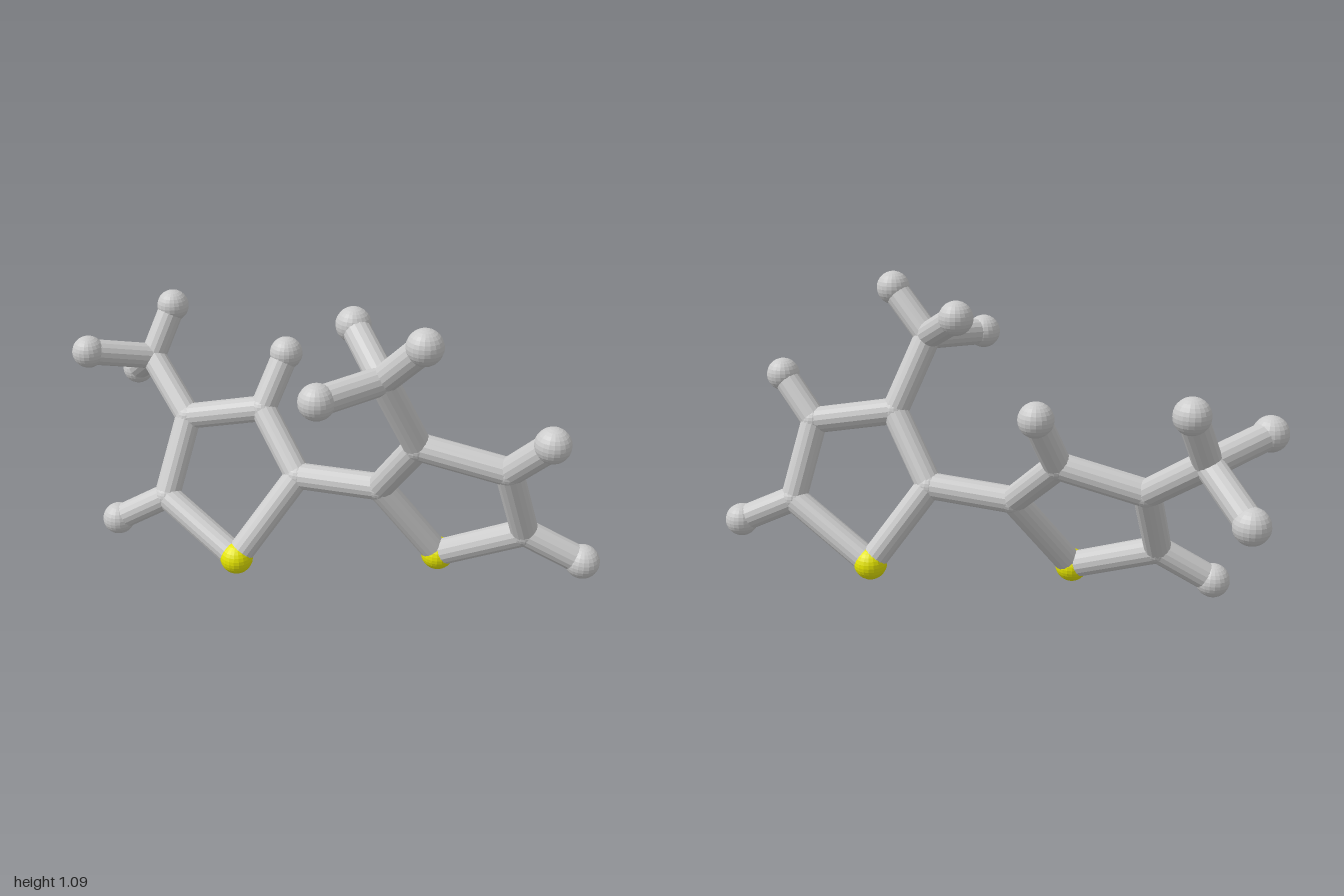
import * as THREE from 'three';

const JOINT_R = 0.05, BALL_R = 0.06, ROD_R = 0.048;

// Joint positions: c* = rod junctions, s* = yellow balls, h* = grey end balls
const joints = {
  // ring on the right-hand side (-x)
  sA: [-0.25, 0.06, 0.14], cA1: [-0.08, 0.355, -0.03], cA2: [-0.27, 0.54, -0.135],
  cA3: [-0.565, 0.465, -0.095], cA4: [-0.58, 0.2, 0.065],
  hA2: [-0.225, 0.727, -0.243], hA4: [-0.767, 0.087, 0.12],
  cA5: [-0.775, 0.63, -0.205], hA5: [-0.733, 0.81, -0.303],
  hA6: [-0.94, 0.69, -0.022], hA7: [-0.936, 0.496, -0.34],
  // ring on the left-hand side (+x)
  sB: [0.422, 0.09, -0.15], cB1: [0.23, 0.375, -0.045], cB2: [0.395, 0.612, 0.04],
  cB3: [0.695, 0.56, -0.01], cB4: [0.743, 0.284, -0.11],
  hB3: [0.838, 0.711, 0.034], hB4: [0.94, 0.192, -0.155],
  cB5: [0.3, 0.876, 0.137], hB5: [0.45, 1.032, 0.179],
  hB6: [0.134, 0.983, -0.014], hB7: [0.16, 0.859, 0.337],
};

const ringRods = (s) => [
  ['s' + s, 'c' + s + '1'], ['c' + s + '1', 'c' + s + '2'], ['c' + s + '2', 'c' + s + '3'],
  ['c' + s + '3', 'c' + s + '4'], ['c' + s + '4', 's' + s],
];
const branchRods = (s, free, stem) => [
  ['c' + s + free, 'h' + s + free], ['c' + s + '4', 'h' + s + '4'], ['c' + s + stem, 'c' + s + '5'],
  ...['5', '6', '7'].map((n) => ['c' + s + '5', 'h' + s + n]),
];

export function createModel() {
  const model = new THREE.Group();
  model.name = 'ballAndStickModel';
  const grey = new THREE.MeshStandardMaterial({ color: 0xcccccc, flatShading: true });
  const yellow = new THREE.MeshStandardMaterial({ color: 0xe6e600, flatShading: true });
  const ballGeo = new THREE.SphereGeometry(1, 20, 14);
  const rodGeo = new THREE.CylinderGeometry(ROD_R, ROD_R, 1, 16);
  const up = new THREE.Vector3(0, 1, 0);

  // Balls and rod junctions
  for (const [key, pos] of Object.entries(joints)) {
    const kind = key[0];
    const ball = new THREE.Mesh(ballGeo, kind === 's' ? yellow : grey);
    ball.name = { s: 'yellowBall', c: 'rodJunction', h: 'endBall' }[kind];
    ball.scale.setScalar(kind === 'c' ? JOINT_R : BALL_R);
    ball.position.set(...pos);
    model.add(ball);
  }

  // Rods between joints
  const addRod = (name, [from, to]) => {
    const a = new THREE.Vector3(...joints[from]);
    const b = new THREE.Vector3(...joints[to]);
    const dir = b.clone().sub(a);
    const rod = new THREE.Mesh(rodGeo, grey);
    rod.name = name;
    rod.scale.y = dir.length();
    rod.position.copy(a).add(b).multiplyScalar(0.5);
    rod.quaternion.setFromUnitVectors(up, dir.normalize());
    model.add(rod);
  };
  for (const s of ['A', 'B']) ringRods(s).forEach((r) => addRod('ringRod', r));
  branchRods('A', '2', '3').forEach((r) => addRod('branchRod', r));
  branchRods('B', '3', '2').forEach((r) => addRod('branchRod', r));
  addRod('bridgeRod', ['cA1', 'cB1']);

  return model;
}
